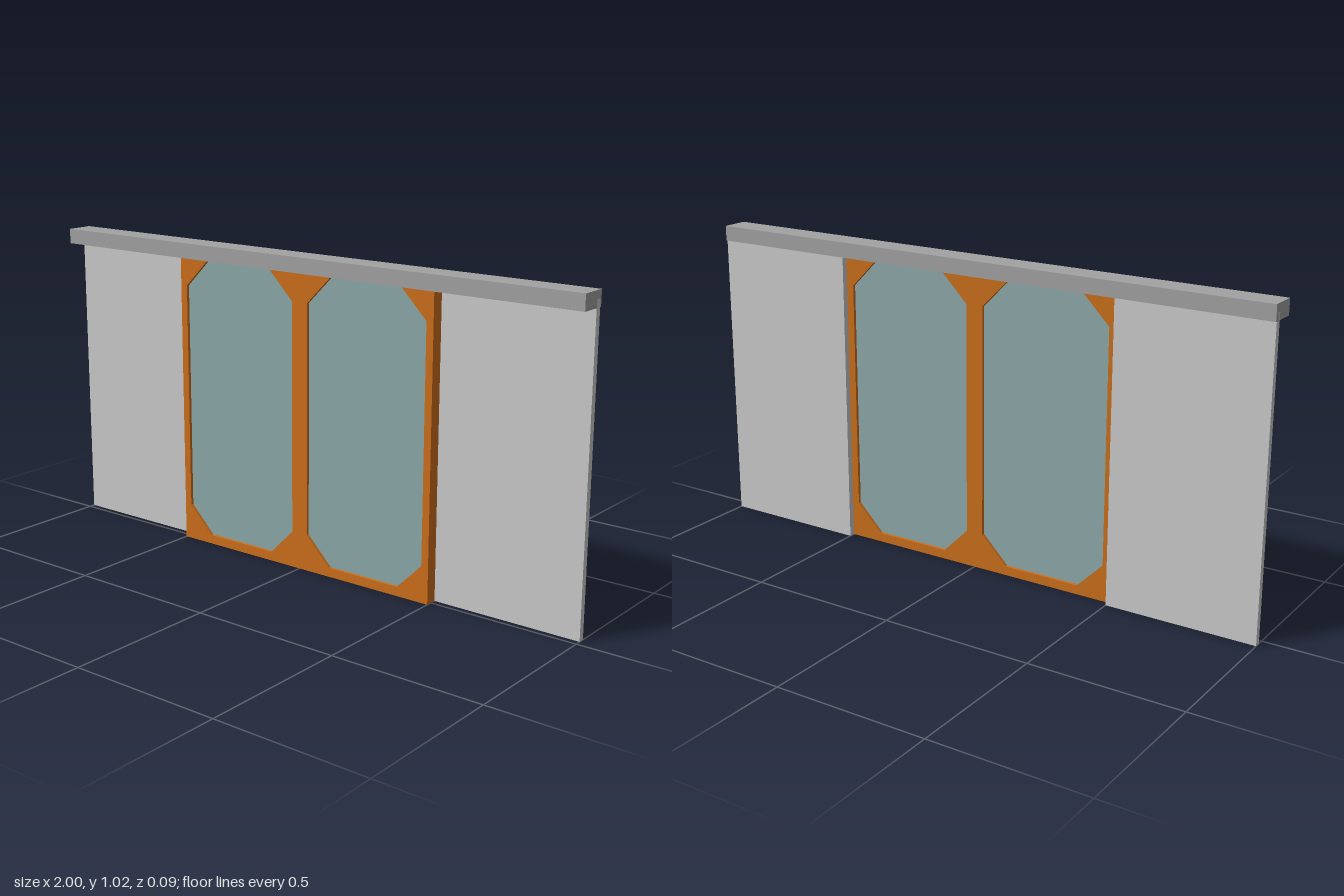
import * as THREE from 'three';

const GREY = new THREE.MeshStandardMaterial({ color: 0xcccccc });
const RAIL = new THREE.MeshStandardMaterial({ color: 0xa2a2a2 });
const ORANGE = new THREE.MeshStandardMaterial({ color: 0xcc6f1c });
const GLASS = new THREE.MeshStandardMaterial({ color: 0x8da9aa });

// Octagonal window outline: a rectangle with its corners cut off
function windowOutline(x0, x1, y0, y1, cut) {
  return [
    [x0 + cut, y0], [x1 - cut, y0], [x1, y0 + cut], [x1, y1 - cut],
    [x1 - cut, y1], [x0 + cut, y1], [x0, y1 - cut], [x0, y0 + cut],
  ].map(([x, y]) => new THREE.Vector2(x, y));
}

// Flat shape extruded evenly about z = 0
function slab(shape, depth) {
  return new THREE.ExtrudeGeometry(shape, { depth, bevelEnabled: false }).translate(0, 0, -depth / 2);
}

export function createModel() {
  const group = new THREE.Group();
  const add = (name, geometry, material) => {
    const mesh = new THREE.Mesh(geometry, material);
    mesh.name = name;
    group.add(mesh);
    return mesh;
  };

  // Top rail across the full width
  add('topRail', new THREE.BoxGeometry(2, 0.05, 0.09), RAIL).position.y = 1;

  // Door frame with two window openings, its top tucked into the rail
  const frame = new THREE.Shape([[-0.5, 0], [0.5, 0], [0.5, 1], [-0.5, 1]].map(([x, y]) => new THREE.Vector2(x, y)));
  const outlines = {
    rightGlass: windowOutline(-0.475, -0.03, 0.03, 0.97, 0.09),
    leftGlass: windowOutline(0.03, 0.475, 0.03, 0.97, 0.09),
  };
  for (const points of Object.values(outlines)) frame.holes.push(new THREE.Path(points));
  add('doorFrame', slab(frame, 0.04), ORANGE);

  // Glass panes recessed on both faces
  for (const [name, points] of Object.entries(outlines)) add(name, slab(new THREE.Shape(points), 0.02), GLASS);

  // Side wall panels, set behind the door
  for (const [name, side] of [['leftWall', 1], ['rightWall', -1]]) {
    add(name, new THREE.BoxGeometry(0.5, 1, 0.02), GREY).position.set(side * 0.75, 0.5, -0.03);
  }

  return group;
}
